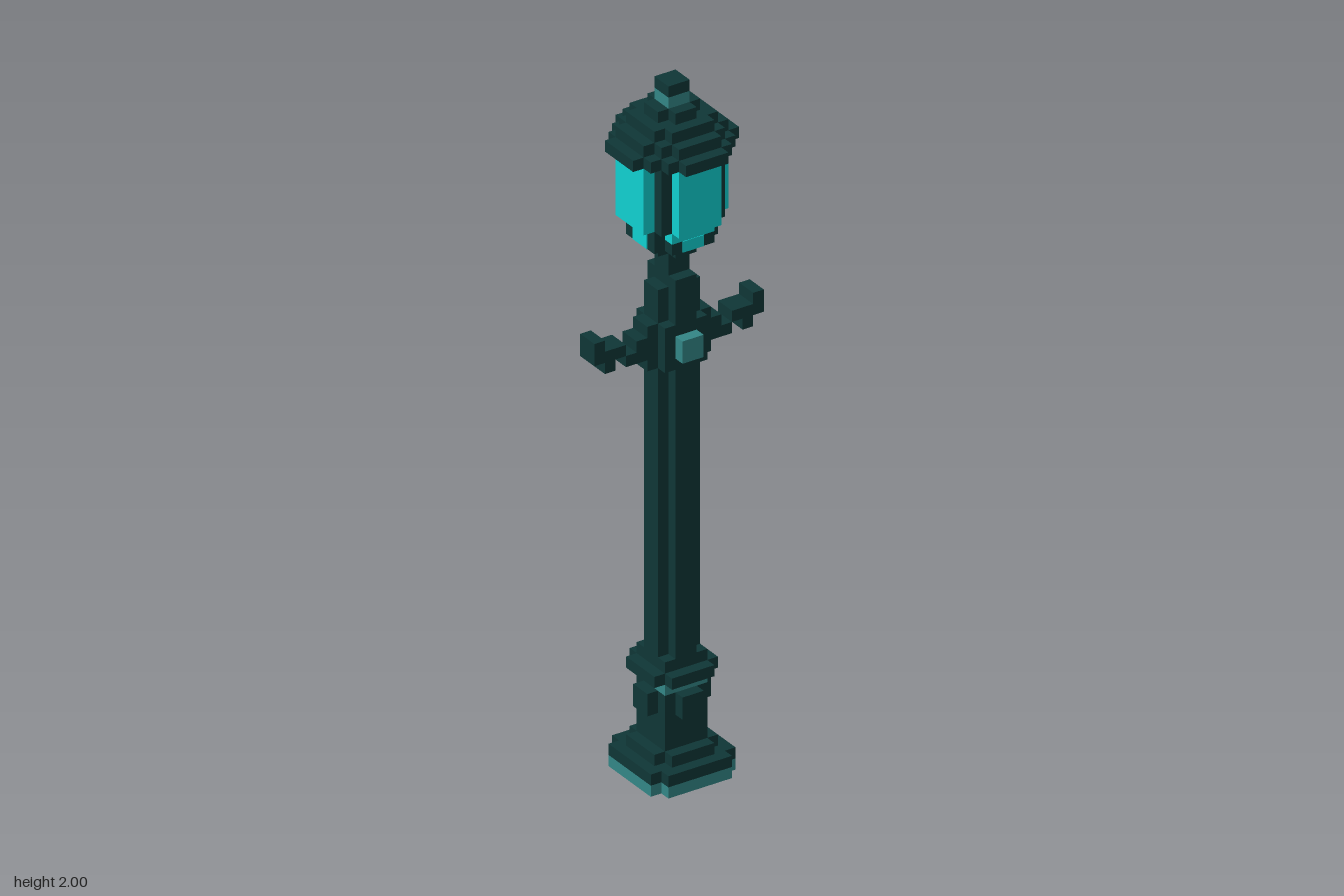
import * as THREE from 'three';

const U = 2 / 62; // size of one block

export function createModel() {
  const group = new THREE.Group();
  const mat = (name, color) => {
    const m = new THREE.MeshStandardMaterial({ color });
    m.name = name;
    return m;
  };
  const iron = mat('dark iron', 0x0f3636);
  const trim = mat('teal trim', 0x338686);
  const glass = mat('cyan glass', 0x10d0d0);

  const add = (name, geometry, material) => {
    const mesh = new THREE.Mesh(geometry, material);
    mesh.name = name;
    group.add(mesh);
    return mesh;
  };

  // Box between block coordinates
  const box = (name, x0, x1, y0, y1, z0, z1, material) =>
    add(name, new THREE.BoxGeometry((x1 - x0) * U, (y1 - y0) * U, (z1 - z0) * U)
      .translate((x0 + x1) / 2 * U, (y0 + y1) / 2 * U, (z0 + z1) / 2 * U), material);

  // Upright prism with stepped corners; steps are half sizes [x, z], widest x first
  const layer = (name, y0, y1, steps, material = iron) => {
    const q = [];
    steps.forEach(([x, z], i) => {
      if (i) q.push([x, steps[i - 1][1]]);
      q.push([x, z]);
    });
    const r = [...q].reverse();
    const outline = [
      ...q,
      ...r.map(([x, z]) => [-x, z]),
      ...q.map(([x, z]) => [-x, -z]),
      ...r.map(([x, z]) => [x, -z]),
    ].map(([x, z]) => new THREE.Vector2(x * U, z * U));
    const geo = new THREE.ExtrudeGeometry(new THREE.Shape(outline), { depth: (y1 - y0) * U, bevelEnabled: false });
    geo.rotateX(-Math.PI / 2).translate(0, y0 * U, 0);
    return add(name, geo, material);
  };

  // Foot
  layer('footPlate', 0, 1, [[4, 3], [3, 4]], trim);
  layer('footUnderside', -0.02, 0.1, [[3, 2], [2, 3]]);
  layer('footStep', 1, 2, [[4, 3], [3, 4]]);
  layer('footUpperStep', 2, 3, [[3, 2], [2, 3]]);
  layer('pedestal', 3, 8, [[2, 2]]);
  layer('pedestalPanels', 6, 8, [[3, 1], [1, 3]]);
  layer('pedestalBand', 8, 9, [[2, 2]], trim);
  layer('pedestalCollar', 9, 10, [[3, 2], [2, 3]]);

  // Fluted post and neck
  layer('postFoot', 10, 11, [[2, 2]]);
  layer('post', 11, 37, [[2, 1], [1, 2]]);
  layer('crossing', 37, 41, [[3, 1], [2, 2]]);
  layer('neck', 41, 44, [[2, 1], [1, 2]]);
  layer('neckTop', 44, 45, [[1, 2]]);
  layer('lanternStem', 45, 47, [[1, 1]]);

  // Side arms with curled ends, and bosses front and back
  for (const s of [-1, 1]) {
    const arm = (name, a, b, y0, y1) =>
      box(name, Math.min(s * a, s * b), Math.max(s * a, s * b), y0, y1, -1, 1, iron);
    arm('armRoot', 3, 5, 38, 39);
    arm('armBracket', 3, 4, 39, 40);
    arm('armBar', 5, 8, 39, 40);
    arm('armDrop', 6, 7, 38, 39);
    arm('armTip', 7, 8, 40, 41);
    box('boss', -1, 1, 38, 40, s * 2.5 - 0.5, s * 2.5 + 0.5, trim);
  }

  // Lantern body
  layer('lanternSeat', 47, 48, [[2, 1], [1, 2]]);
  layer('lanternCup', 48, 49, [[3, 2], [2, 3]]);
  layer('lanternCupTop', 49, 50, [[3, 2]]);
  layer('lanternFrame', 50, 56, [[3, 3]]);
  for (const s of [-1, 1]) {
    const c = s * 3.5;
    box('glassPane', -2, 2, 50, 56.2, c - 0.5, c + 0.5, glass);
    box('glassPane', c - 0.5, c + 0.5, 50, 56.2, -2, 2, glass);
    box('glassLowerPane', -2, 2, 49, 50, s * 2.5 - 0.5, s * 2.5 + 0.5, glass);
    box('glassPoint', -1, 1, 48, 49, s * 3 - 0.05, s * 3 + 0.05, glass);
    box('glassPoint', s * 3 - 0.05, s * 3 + 0.05, 48, 50, -1, 1, glass);
  }

  // Stepped roof and finial
  layer('roofEave', 56, 57, [[5, 2], [4, 3], [3, 4], [2, 5]]);
  layer('roofMiddle', 57, 58, [[4, 2], [3, 3], [2, 4]]);
  layer('roofUpper', 58, 59, [[3, 2], [2, 3]]);
  layer('roofTop', 59, 60, [[2, 1], [1, 2]]);
  layer('finialNeck', 60, 61, [[1, 1]], trim);
  layer('finialCap', 61, 62, [[1, 1]]);

  return group;
}
